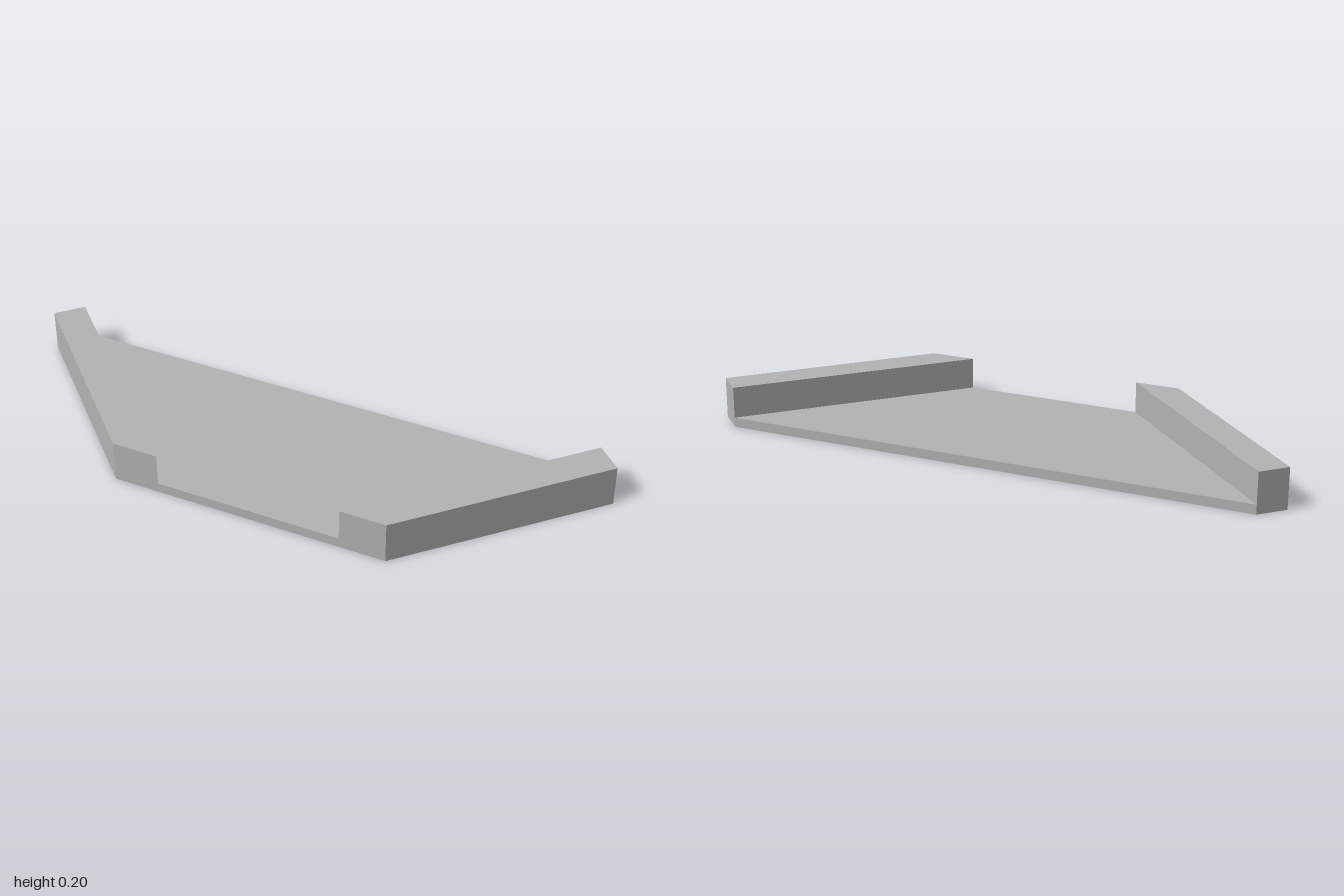
import * as THREE from 'three';

// Vertical prism over a footprint of [x, z] corners, standing on y = 0
function prism(name, corners, height, material) {
  const shape = new THREE.Shape(corners.map(([x, z]) => new THREE.Vector2(x, -z)));
  const geometry = new THREE.ExtrudeGeometry(shape, { depth: height, bevelEnabled: false });
  geometry.rotateX(-Math.PI / 2);
  const mesh = new THREE.Mesh(geometry, material);
  mesh.name = name;
  return mesh;
}

export function createModel() {
  const grey = new THREE.MeshStandardMaterial({ color: 0xb4b4b4 });
  grey.name = 'grey';

  const wallHeight = 0.2;
  const floorHeight = 0.047;
  const inner = 0.847; // inner faces of both walls

  const group = new THREE.Group();
  group.name = 'cornerBracket';
  group.add(
    // thin diagonal floor joining the two walls
    prism('floor', [[-inner, -1], [1, inner], [-0.23, inner], [-inner, 0.23]], floorHeight, grey),
    // walls with mitred ends at the cut corner
    prism('sideWall', [[-1, -1], [-inner, -1], [-inner, 0.23], [-1, 0.077]], wallHeight, grey),
    prism('frontWall', [[1, 1], [1, inner], [-0.23, inner], [-0.077, 1]], wallHeight, grey)
  );
  return group;
}
